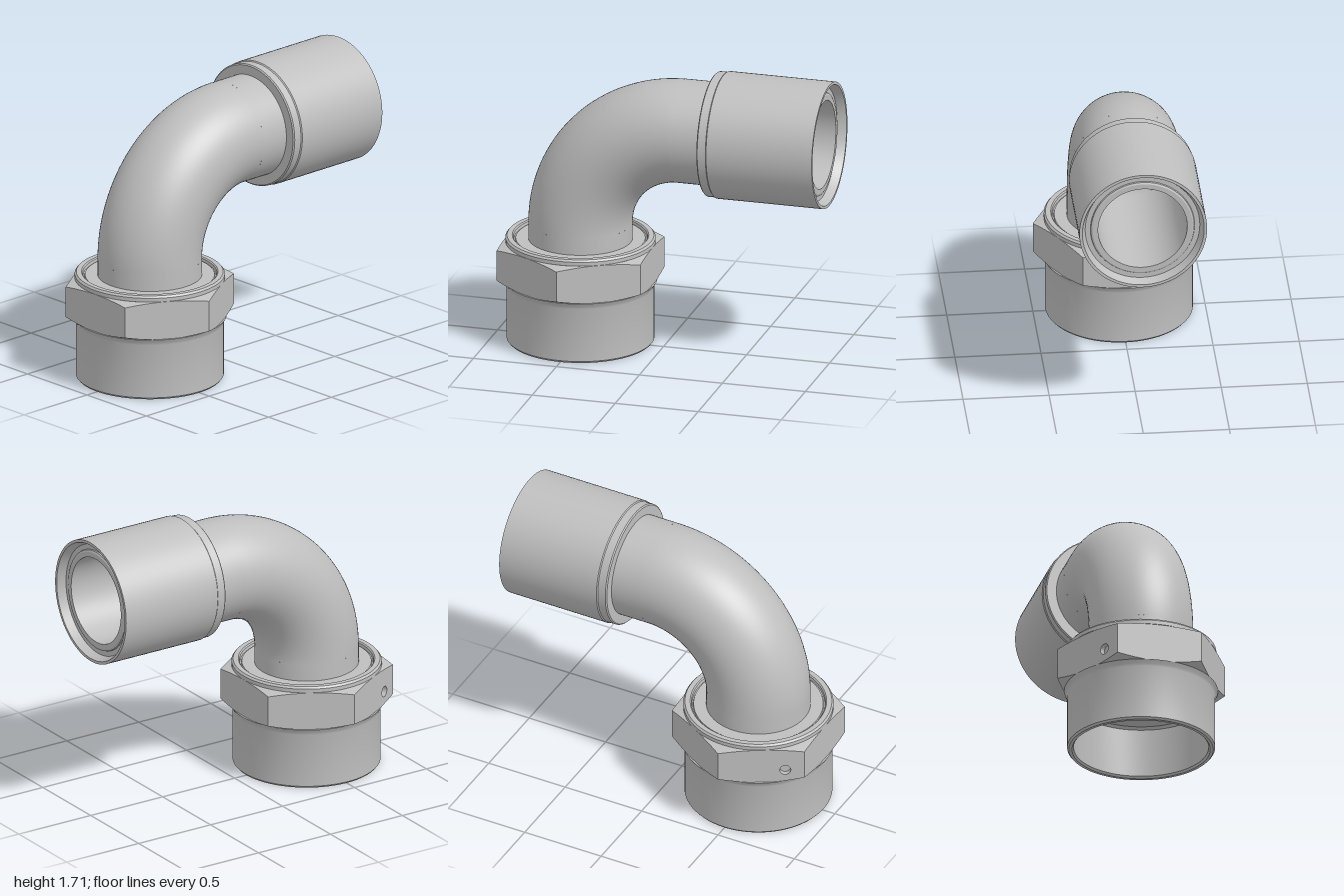
import * as THREE from 'three';
import { toCreasedNormals } from 'three/addons/utils/BufferGeometryUtils.js';

const AXIS_X = -0.5;   // axis of the upright end
const AXIS_Y = 1.34;   // axis of the level end
const BEND = 0.62;     // centre-line radius of the elbow

export function createModel() {
  const group = new THREE.Group();
  const metal = new THREE.MeshStandardMaterial({ color: 0xbfbfbf, side: THREE.DoubleSide });
  metal.name = 'greyMetal';

  const add = (name, geo, parent = group) => {
    const mesh = new THREE.Mesh(geo, metal);
    mesh.name = name;
    parent.add(mesh);
    return mesh;
  };
  const lathe = (pts) => toCreasedNormals(
    new THREE.LatheGeometry(pts.map(([r, y]) => new THREE.Vector2(r, y)), 72), 0.45);
  const upright = (name, pts) => add(name, lathe(pts)).position.set(AXIS_X, 0, 0);
  const level = (name, pts) => {
    const mesh = add(name, lathe(pts));
    mesh.rotation.z = -Math.PI / 2;
    mesh.position.y = AXIS_Y;
  };

  // Hollow lower socket with a stepped bore
  upright('lowerSocket', [
    [0.259, 0.34], [0.268, 0.32], [0.375, 0.32], [0.39, 0.305], [0.39, 0.012], [0.4, 0],
    [0.418, 0], [0.428, 0.012], [0.428, 0.335], [0.433, 0.35], [0.445, 0.372], [0.42, 0.372],
  ]);

  // Raised rim and recessed disc above the nut
  upright('topFlange', [
    [0.42, 0.595], [0.435, 0.602], [0.435, 0.625], [0.425, 0.637], [0.395, 0.637],
    [0.388, 0.63], [0.385, 0.612], [0.378, 0.612], [0.375, 0.62], [0.3, 0.62],
  ]);

  // Pipe: outer skin and bore, each with two straight ends and a quarter bend
  const bendY = AXIS_Y - BEND, bendX = AXIS_X + BEND;
  [['pipe', 0.302, 0.61, 0.32], ['bore', 0.259, 0.335, 0.96]].forEach(([name, r, y0, x1]) => {
    upright(name + 'Upright', [[r, y0], [r, bendY]]);
    level(name + 'Level', [[r, bendX], [r, x1]]);
    const bend = add(name + 'Bend', new THREE.TorusGeometry(BEND, r, 64, 48, Math.PI / 2));
    bend.rotation.z = Math.PI / 2;
    bend.position.set(bendX, bendY, 0);
  });

  // Collar on the level end, with a tapered mouth around the pipe end
  level('collar', [
    [0.3, 0.302], [0.358, 0.302], [0.365, 0.309], [0.365, 0.358], [0.371, 0.364], [0.371, 1],
    [0.354, 1], [0.333, 0.95], [0.303, 0.95], [0.3, 0.958], [0.29, 0.963], [0.259, 0.963],
    [0.259, 0.94],
  ]);

  group.add(createNut(add));
  return group;
}

// Hexagonal nut: six flat sides cut by conical chamfers above and below
function createNut(add) {
  const nut = new THREE.Group();
  nut.name = 'hexNut';
  nut.position.x = AXIS_X;
  const flat = 0.5 * Math.cos(Math.PI / 6);
  const steps = 16;
  const topY = (r) => 0.6 - (r - flat) * 0.27;
  const bottomY = (r) => 0.37 + (r - flat) * 0.42;
  const hole = { s: 0.14, y: 0.455, r: 0.032, depth: 0.03 };

  const angles = [];
  for (let i = 0; i <= steps; i++) angles.push((i / steps - 0.5) * Math.PI / 3);
  const edge = (yOf) => angles.map((a) =>
    new THREE.Vector2(flat * Math.tan(a), yOf(flat / Math.cos(a))));

  // Conical strip from a curved edge in to a circle
  const chamfer = (yOf, innerR, up) => {
    const pos = [], idx = [];
    angles.forEach((a, i) => {
      const r = flat / Math.cos(a);
      pos.push(r * Math.sin(a), yOf(r), flat);
      pos.push(innerR * Math.sin(a), yOf(innerR), innerR * Math.cos(a));
      if (i < steps) {
        const k = 2 * i;
        if (up) idx.push(k, k + 2, k + 1, k + 1, k + 2, k + 3);
        else idx.push(k, k + 1, k + 2, k + 1, k + 3, k + 2);
      }
    });
    // keep the outer edge on the flat side
    const geo = new THREE.BufferGeometry();
    geo.setAttribute('position', new THREE.Float32BufferAttribute(pos, 3));
    geo.setIndex(idx);
    geo.computeVertexNormals();
    return geo;
  };
  const topChamfer = chamfer(topY, 0.41, true);
  const bottomChamfer = chamfer(bottomY, 0.41, false);

  for (let i = 0; i < 6; i++) {
    const side = new THREE.Group();
    side.name = 'nutSide' + (i + 1);
    side.rotation.y = Math.PI / 6 + i * Math.PI / 3;
    nut.add(side);

    const shape = new THREE.Shape([...edge(bottomY), ...edge(topY).reverse()]);
    // One side, at the back left, carries a small drilled hole
    if (i === 3) {
      shape.holes.push(new THREE.Path().absarc(hole.s, hole.y, hole.r, 0, Math.PI * 2, true));
      const wall = add('holeWall',
        new THREE.CylinderGeometry(hole.r, hole.r, hole.depth, 24, 1, true), side);
      wall.rotation.x = Math.PI / 2;
      wall.position.set(hole.s, hole.y, flat - hole.depth / 2);
      add('holeFloor', new THREE.CircleGeometry(hole.r, 24), side)
        .position.set(hole.s, hole.y, flat - hole.depth);
    }
    add('flat', new THREE.ShapeGeometry(shape, 12), side).position.z = flat;
    add('topChamfer', topChamfer, side);
    add('bottomChamfer', bottomChamfer, side);
  }
  return nut;
}
